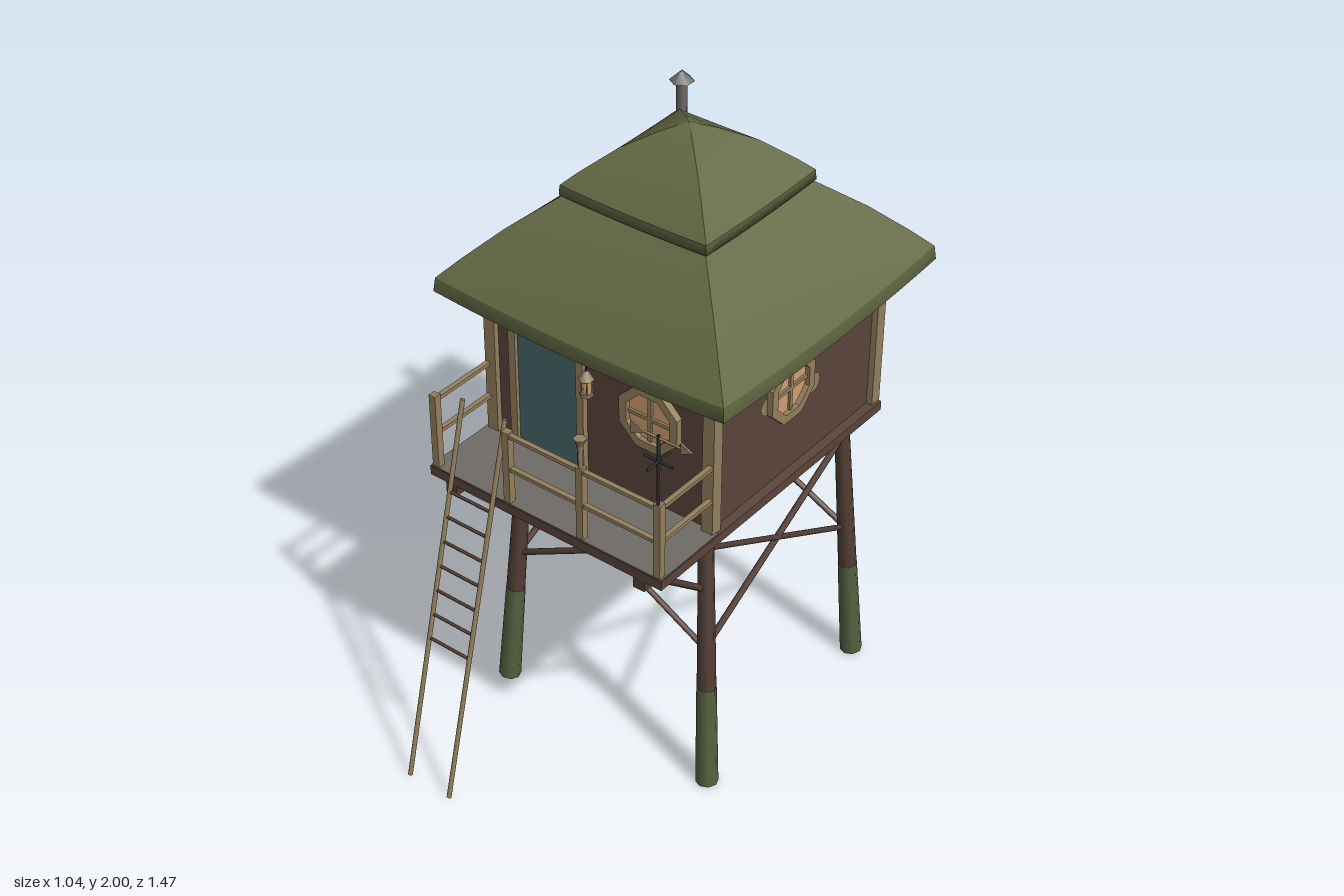
import * as THREE from 'three';

const mat = (name, color) => {
  const m = new THREE.MeshStandardMaterial({ color });
  m.name = name;
  return m;
};

export function createModel() {
  const wallWood = mat('wall wood', 0x5b463c);
  const darkWood = mat('dark wood', 0x523f36);
  const tan = mat('trim wood', 0x94805f);
  const roofGreen = mat('roof green', 0x626843);
  const moss = mat('moss green', 0x566040);
  const teal = mat('door teal', 0x486669);
  const glow = mat('window glow', 0xd2a070);
  const gray = mat('pipe gray', 0x6c6967);
  const iron = mat('dark iron', 0x2e2f30);
  const deckGray = mat('deck gray', 0x706b66);
  roofGreen.side = THREE.DoubleSide;

  const model = new THREE.Group();
  model.name = 'stiltHouse';

  const add = (name, geo, material, x = 0, y = 0, z = 0, parent = model) => {
    const m = new THREE.Mesh(geo, material);
    m.name = name;
    m.position.set(x, y, z);
    parent.add(m);
    return m;
  };
  // Box given by its min and max corners
  const box = (name, a, b, material, parent) => add(name,
    new THREE.BoxGeometry(b[0] - a[0], b[1] - a[1], b[2] - a[2]), material,
    (a[0] + b[0]) / 2, (a[1] + b[1]) / 2, (a[2] + b[2]) / 2, parent);
  // Round bar between two points
  const rod = (name, a, b, r0, r1, material, sides = 6) => {
    const p = new THREE.Vector3(...a), q = new THREE.Vector3(...b);
    const d = q.clone().sub(p);
    const m = add(name, new THREE.CylinderGeometry(r1, r0, d.length(), sides), material);
    m.position.copy(p).add(q).multiplyScalar(0.5);
    m.quaternion.setFromUnitVectors(new THREE.Vector3(0, 1, 0), d.normalize());
  };
  const lerp = (a, b, t) => a.map((v, i) => v + (b[i] - v) * t);

  // Legs, mossy at the foot
  for (const s of [-1, 1]) for (const [z0, z1] of [[0.18, 0.13], [-0.605, -0.555]]) {
    const foot = [s * 0.4, 0.003, z0], top = [s * 0.34, 0.96, z1], mid = lerp(foot, top, 0.38);
    rod('legFoot', foot, mid, 0.036, 0.031, moss, 8);
    rod('leg', mid, top, 0.03, 0.023, darkWood, 8);
  }

  // Cross braces on all four sides
  for (const s of [-1, 1]) {
    for (const z of [[0.135, 0.155], [-0.56, -0.58]])
      rod('crossBrace', [s * 0.345, 0.875, z[0]], [-s * 0.36, 0.51, z[1]], 0.01, 0.01, darkWood);
    rod('crossBrace', [s * 0.345, 0.865, 0.125], [s * 0.365, 0.51, -0.58], 0.01, 0.01, darkWood);
    rod('crossBrace', [s * 0.365, 0.51, 0.155], [s * 0.345, 0.865, -0.555], 0.01, 0.01, darkWood);
    rod('deckStrut', [s * 0.345, 0.945, 0.41], [s * 0.35, 0.73, 0.15], 0.011, 0.011, darkWood);
    box('joist', [s * 0.35 - 0.02, 0.93, -0.635], [s * 0.35 + 0.02, 0.966, 0.455], darkWood);
  }

  // Platform with a thin gray deck on top
  box('platform', [-0.43, 0.965, -0.635], [0.43, 0.997, 0.455], wallWood);
  box('deckBoards', [-0.428, 0.996, 0.19], [0.428, 1.001, 0.453], deckGray);

  // House body and corner trims
  box('walls', [-0.4, 0.998, -0.62], [0.4, 1.56, 0.19], wallWood);
  for (const x of [-0.4, 0.4]) for (const z of [-0.618, 0.188])
    box('cornerTrim', [x - 0.02, 0.998, z - 0.02], [x + 0.02, 1.55, z + 0.02], tan);

  // Door
  box('door', [-0.305, 1, 0.188], [-0.07, 1.475, 0.198], teal);
  for (const x of [-0.313, -0.06]) box('doorFrame', [x - 0.013, 1, 0.188], [x + 0.013, 1.5, 0.21], tan);
  box('doorLintel', [-0.326, 1.475, 0.188], [-0.047, 1.5, 0.21], tan);

  // Octagonal windows
  const octagon = (r, Type) => new Type(Array.from({ length: 8 }, (_, i) => {
    const a = (i + 0.5) * Math.PI / 4;
    return new THREE.Vector2(Math.cos(a) * r, Math.sin(a) * r);
  }));
  const makeWindow = (x, z, turn) => {
    const g = new THREE.Group();
    g.name = 'window';
    const ring = octagon(0.112, THREE.Shape);
    ring.holes.push(octagon(0.083, THREE.Path));
    add('windowFrame', new THREE.ExtrudeGeometry(ring, { depth: 0.022, bevelEnabled: false }), tan, 0, 0, 0, g);
    add('windowPane', new THREE.ShapeGeometry(octagon(0.09, THREE.Shape)), glow, 0, 0, 0.006, g);
    box('muntin', [-0.006, -0.085, 0.004], [0.006, 0.085, 0.014], tan, g);
    box('muntin', [-0.085, -0.006, 0.004], [0.085, 0.006, 0.014], tan, g);
    g.position.set(x, 1.3, z);
    g.rotation.y = turn;
    model.add(g);
  };
  makeWindow(0.19, 0.19, 0);
  makeWindow(0.4, -0.17, Math.PI / 2);

  // Round knots on the walls
  for (const [x, y, z, r, turn] of [
    [0.402, 1.24, -0.3, 0.032, 1], [0.402, 1.235, -0.265, 0.02, 1], [0.402, 1.285, -0.07, 0.03, 1],
    [-0.04, 1.3, -0.622, 0.026, 2], [-0.402, 1.32, -0.14, 0.015, 3]])
    add('wallKnot', new THREE.CircleGeometry(r, 10), tan, x, y, z).rotation.y = turn * Math.PI / 2;

  // Four-sided roof band from a profile of [half width, height], sagging between corners
  const roofBand = (name, profile, half, sag) => {
    const N = 10, rows = profile.length;
    for (let side = 0; side < 4; side++) {
      const pos = [], idx = [];
      profile.forEach(([h, y]) => {
        for (let i = 0; i <= N; i++) {
          const u = i / N * 2 - 1;
          pos.push(u * h, y - sag * (1 - u * u) * (h / half) ** 3, h);
        }
      });
      for (let r = 0; r < rows - 1; r++) for (let i = 0; i < N; i++) {
        const a = r * (N + 1) + i, b = a + N + 1;
        idx.push(a, a + 1, b + 1, a, b + 1, b);
      }
      const geo = new THREE.BufferGeometry();
      geo.setAttribute('position', new THREE.Float32BufferAttribute(pos, 3));
      geo.setIndex(idx);
      geo.computeVertexNormals();
      add(name, geo, roofGreen, 0, 0, -0.215).rotation.y = side * Math.PI / 2;
    }
  };
  roofBand('roofUnderside', [[0.395, 1.56], [0.51, 1.495]], 0.52, 0.02);
  roofBand('roofEave', [[0.51, 1.495], [0.52, 1.495], [0.515, 1.54]], 0.52, 0.02);
  roofBand('roofSlope', [[0.515, 1.54], [0.46, 1.6], [0.37, 1.69], [0.25, 1.79], [0.2, 1.81]], 0.52, 0.02);
  roofBand('upperRoofEave', [[0.22, 1.785], [0.26, 1.79], [0.258, 1.822]], 0.26, 0.006);
  roofBand('upperRoof', [[0.258, 1.822], [0.22, 1.86], [0.14, 1.93], [0.06, 1.975], [0.001, 2]], 0.26, 0.006);

  // Chimney
  rod('chimneyPipe', [-0.22, 1.7, -0.47], [-0.22, 1.955, -0.47], 0.017, 0.017, gray, 8);
  add('chimneyCap', new THREE.ConeGeometry(0.038, 0.035, 6), gray, -0.22, 1.965, -0.47);

  // Railing
  for (const [x, h] of [[-0.41, 1.255], [-0.135, 1.25], [0.135, 1.25], [0.41, 1.255]])
    box('railPost', [x - 0.012, 1, 0.428], [x + 0.012, h, 0.452], tan);
  for (const y of [1.12, 1.237]) {
    box('frontRail', [-0.14, y - 0.006, 0.432], [0.41, y + 0.006, 0.448], tan);
    for (const x of [-0.41, 0.41]) box('sideRail', [x - 0.008, y - 0.006, 0.19], [x + 0.008, y + 0.006, 0.44], tan);
  }

  // Small horn on the middle post
  rod('horn', [0.135, 1.25, 0.442], [0.135, 1.325, 0.442], 0.007, 0.009, tan);
  rod('hornBell', [0.135, 1.32, 0.442], [0.135, 1.35, 0.442], 0.007, 0.02, tan);

  // Wind vane on the corner post
  rod('vanePole', [0.41, 1.2, 0.445], [0.41, 1.49, 0.445], 0.005, 0.005, iron);
  rod('vaneCross', [0.36, 1.402, 0.445], [0.46, 1.402, 0.445], 0.004, 0.004, iron);
  rod('vaneCross', [0.41, 1.402, 0.395], [0.41, 1.402, 0.495], 0.004, 0.004, iron);
  rod('vaneArrow', [0.33, 1.48, 0.445], [0.49, 1.48, 0.445], 0.004, 0.004, tan);
  const vaneBlade = new THREE.Shape([[0, -0.024], [0.05, 0], [0, 0.024]].map(p => new THREE.Vector2(...p)));
  for (const [x, s] of [[0.315, 1], [0.485, 0.75]])
    add('vaneBlade', new THREE.ExtrudeGeometry(vaneBlade, { depth: 0.006, bevelEnabled: false }), tan, x, 1.48, 0.442).scale.set(s, s, 1);

  // Hanging lantern and its bracket
  rod('lanternArm', [0.03, 1.475, 0.19], [0.03, 1.475, 0.29], 0.005, 0.005, iron);
  rod('lanternBrace', [0.03, 1.41, 0.195], [0.03, 1.472, 0.265], 0.004, 0.004, iron);
  rod('lanternHook', [0.03, 1.43, 0.285], [0.03, 1.475, 0.285], 0.003, 0.003, iron);
  rod('lanternGlass', [0.03, 1.37, 0.285], [0.03, 1.42, 0.285], 0.014, 0.014, glow);
  rod('lanternBase', [0.03, 1.36, 0.285], [0.03, 1.37, 0.285], 0.02, 0.02, tan);
  rod('lanternCap', [0.03, 1.415, 0.285], [0.03, 1.445, 0.285], 0.024, 0.006, tan);
  for (let i = 0; i < 4; i++) {
    const a = i * Math.PI / 2 + Math.PI / 4, x = 0.03 + 0.016 * Math.cos(a), z = 0.285 + 0.016 * Math.sin(a);
    rod('lanternBar', [x, 1.365, z], [x, 1.42, z], 0.003, 0.003, tan, 4);
  }

  // Leaning ladder
  const ladderZ = y => 0.728 - 0.26 * y;
  for (const x of [-0.335, -0.175])
    rod('ladderRail', [x, 0.003, ladderZ(0)], [x, 1.25, ladderZ(1.25)], 0.0075, 0.0075, tan);
  for (let i = 0; i < 7; i++) {
    const y = 0.48 + i * 0.08;
    rod('ladderRung', [-0.335, y, ladderZ(y)], [-0.175, y, ladderZ(y)], 0.0055, 0.0055, darkWood);
  }

  return model;
}
